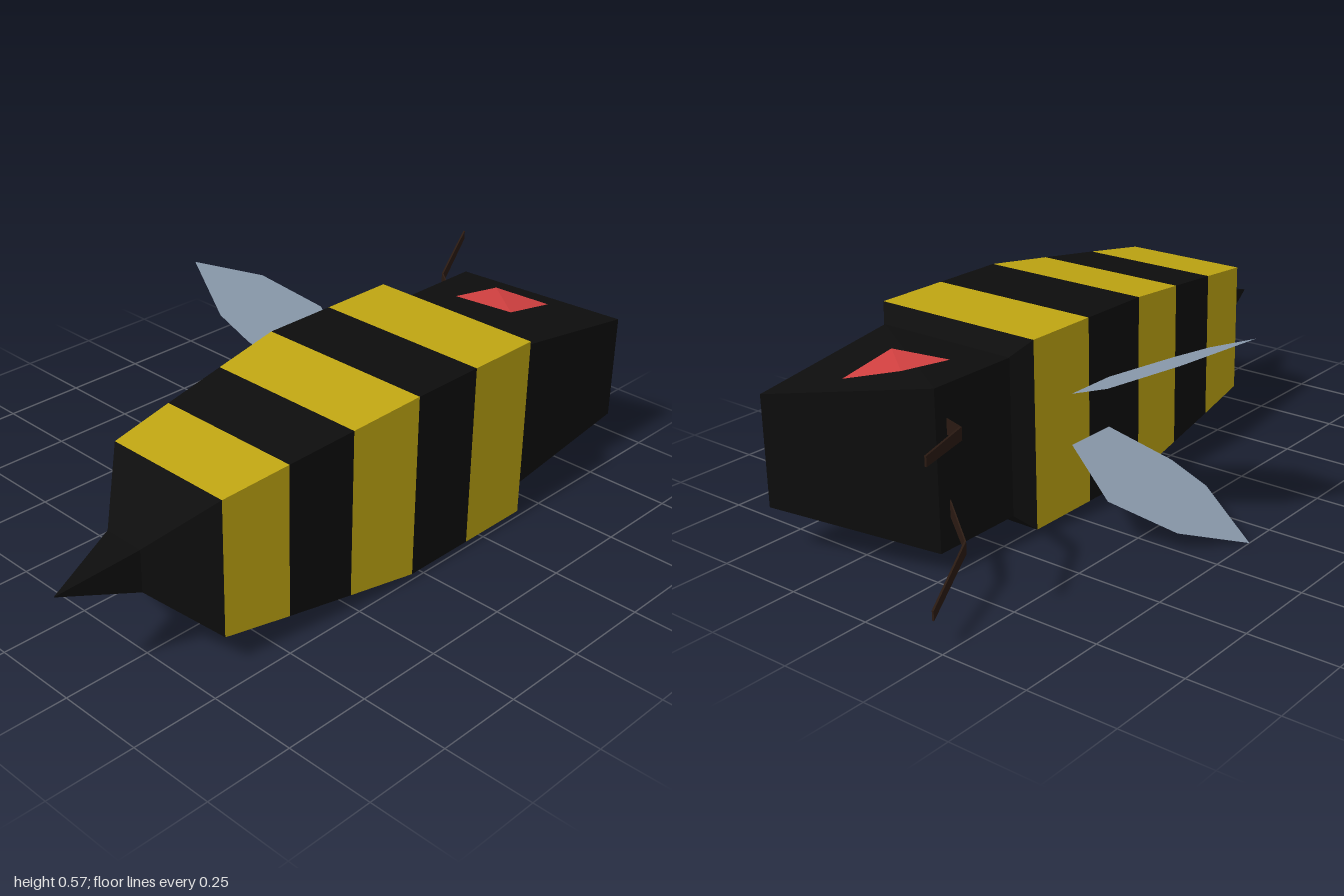
import * as THREE from 'three';
import { ConvexGeometry } from 'three/addons/geometries/ConvexGeometry.js';

const CX = 0.235, CY = 0.284; // long axis of the body

const mat = (color) => new THREE.MeshStandardMaterial({ color, flatShading: true, side: THREE.DoubleSide });
const black = mat(0x0d0d0d), yellow = mat(0xbfa512), red = mat(0xd04040);
const wingGrey = mat(0x8a9aac), brown = mat(0x2a1a12);
const v = (x, y, z) => new THREE.Vector3(x, y, z);

export function createModel() {
  const model = new THREE.Group();
  const add = (name, geometry, material) => {
    const mesh = new THREE.Mesh(geometry, material);
    mesh.name = name;
    model.add(mesh);
  };

  // Square tapered section along z, from half-width h0 at z0 to h1 at z1
  const section = (name, z0, h0, z1, h1, material) => {
    const g = new THREE.CylinderGeometry(h1 * Math.SQRT2, h0 * Math.SQRT2, z1 - z0, 4, 1, true, Math.PI / 4);
    g.rotateX(Math.PI / 2).translate(CX, CY, (z0 + z1) / 2);
    add(name, g, material);
  };

  // Neck, striped body and two-step stinger
  section('neck', -0.445, 0.221, -0.4, 0.265, black);
  const rings = [[-0.4, 0.265], [-0.175, 0.265], [0.047, 0.265], [0.258, 0.241], [0.455, 0.218], [0.65, 0.194]];
  for (let i = 0; i < 5; i++) {
    section('bodyStripe' + (i + 1), ...rings[i], ...rings[i + 1], i % 2 ? black : yellow);
  }
  section('stingerBase', 0.65, 0.194, 0.79, 0.06, black);
  section('stingerTip', 0.79, 0.06, 1.0, 0.0005, black);

  // Head: slanted end, lower at its far corner
  const headCorners = [[0.013, 0.221, -0.445], [0.453, 0.221, -0.445], [0.013, 0.221, -0.72], [0.453, 0.155, -0.885]];
  const headPoints = [];
  for (const [x, h, z] of headCorners) headPoints.push(v(x, CY + h, z), v(x, CY - h, z));
  add('head', new ConvexGeometry(headPoints), black);

  for (const s of [1, -1]) {
    const side = s > 0 ? 'upper' : 'lower';

    // Eye: folded quad lying on the head
    const a = [0.114, 0.225, -0.554], b = [0.156, 0.224, -0.686];
    const c = [0.294, 0.193, -0.755], d = [0.294, 0.224, -0.58];
    const corners = s > 0 ? [a, d, b, b, d, c] : [a, b, d, b, c, d];
    const eye = new THREE.BufferGeometry().setFromPoints(corners.map(([x, h, z]) => v(x, CY + s * h, z)));
    eye.computeVertexNormals();
    add(side + 'Eye', eye, red);

    // Wing: flat outline in x and z, sloping away from the body
    const outline = [[-0.03, -0.25], [-0.215, -0.335], [-0.38, -0.255], [-0.5, -0.098],
      [-0.31, -0.022], [-0.2, -0.028], [-0.03, -0.088]];
    const wing = new THREE.ShapeGeometry(new THREE.Shape(outline.map(([x, z]) => new THREE.Vector2(x, z))));
    wing.rotateX(Math.PI / 2);
    const p = wing.attributes.position;
    for (let i = 0; i < p.count; i++) p.setY(i, CY + s * (0.073 + 0.447 * (-0.03 - p.getX(i))));
    wing.computeVertexNormals();
    add(side + 'Wing', wing, wingGrey);

    // Antenna: two thin straps, each [x, z, low, high] at its ends
    const joints = [[0.02, -0.675, 0.085, 0.13], [-0.108, -0.76, 0.132, 0.166], [-0.225, -1, 0.178, 0.204]];
    for (let i = 0; i < 2; i++) {
      const pts = [];
      for (const [x, z, lo, hi] of [joints[i], joints[i + 1]]) {
        for (const h of [lo, hi]) for (const t of [-0.003, 0.003]) pts.push(v(x + t, CY + s * h, z));
      }
      add(side + 'Antenna' + (i ? 'Tip' : 'Base'), new ConvexGeometry(pts), brown);
    }
  }
  return model;
}
